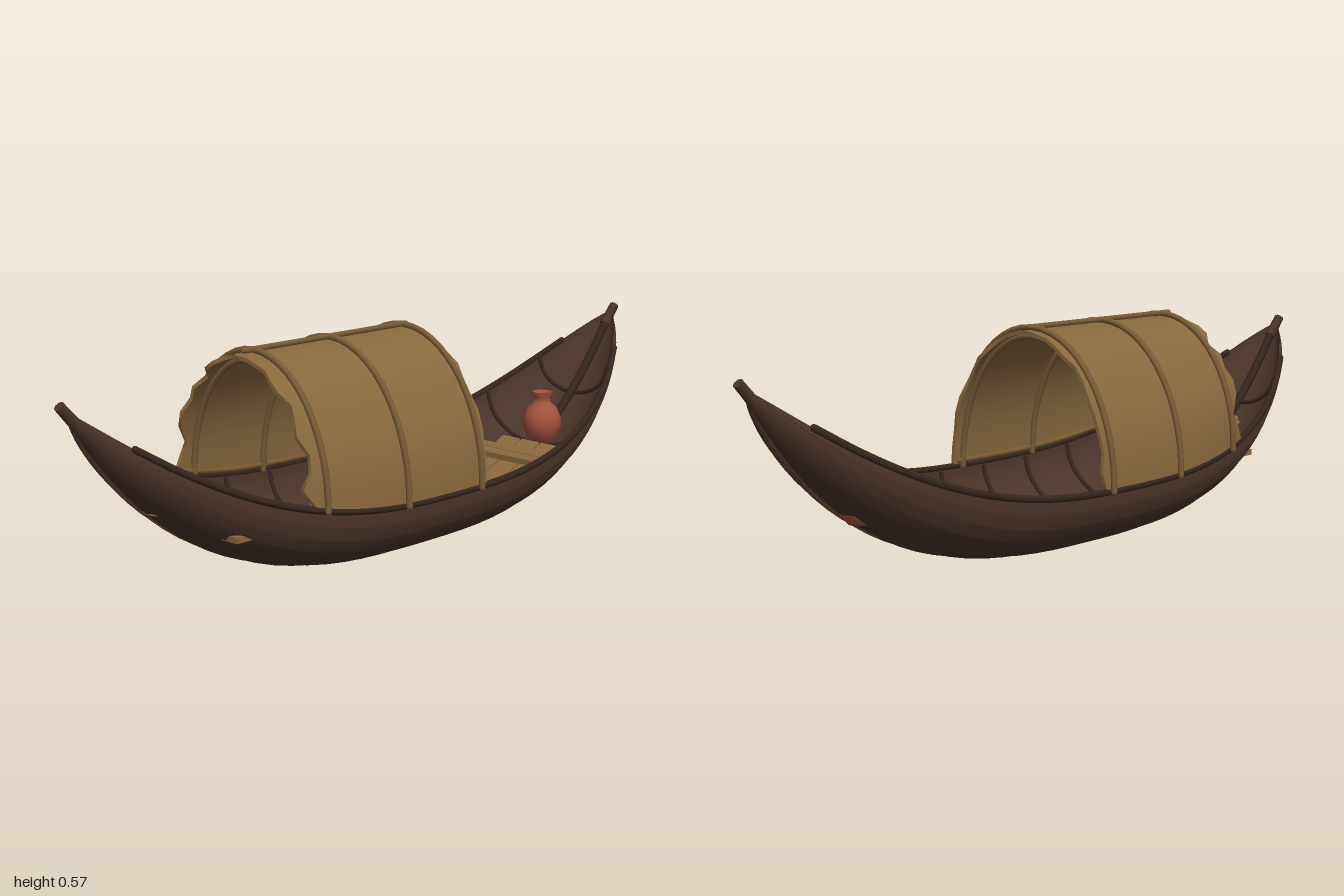
import * as THREE from 'three';

const mat = (name, color, side = THREE.FrontSide) => {
  const m = new THREE.MeshStandardMaterial({ color, side });
  m.name = name;
  return m;
};

// Hull lines as functions of z
const END = 0.97;
const sheer = z => 0.18 + 0.3 * Math.pow(Math.abs(z) / 0.95, 2.7);
const keel = z => 0.008 + 0.44 * Math.pow(Math.abs(z) / 0.95, 3);
const width = z => 0.263 * Math.pow(Math.max(0, 1 - Math.pow(Math.abs(z) / END, 2.6)), 0.75);

// Point on the hull skin; a = 0 at the keel, +-PI/2 at the rim
function hullPoint(z, a, off = 0) {
  const o = off * Math.min(1, width(z) / 0.08);
  return new THREE.Vector3(
    (width(z) + o) * Math.sin(a), sheer(z) - (sheer(z) - keel(z) + o) * Math.cos(a), z);
}

// Point on the canopy arch; a = 0 at the left foot, PI at the right foot
function archPoint(z, a, off = 0) {
  return new THREE.Vector3(
    (width(z) + 0.005 + off) * Math.cos(a), sheer(z) + (0.558 + off - sheer(z)) * Math.sin(a), z);
}

// Smooth surface from a rule f(u, v)
function surface(f, nu, nv) {
  const pos = [], index = [];
  for (let i = 0; i <= nu; i++)
    for (let j = 0; j <= nv; j++) pos.push(...f(i / nu, j / nv).toArray());
  for (let i = 0; i < nu; i++)
    for (let j = 0; j < nv; j++) {
      const p = i * (nv + 1) + j, q = p + nv + 1;
      index.push(p, q, p + 1, q, q + 1, p + 1);
    }
  const g = new THREE.BufferGeometry();
  g.setAttribute('position', new THREE.Float32BufferAttribute(pos, 3));
  g.setIndex(index);
  g.computeVertexNormals();
  return g;
}

const range = (n, f) => Array.from({ length: n + 1 }, (_, i) => f(i / n));
const lerp = THREE.MathUtils.lerp;

export function createModel() {
  const model = new THREE.Group();
  const hullWood = mat('dark hull wood', 0x49342a, THREE.DoubleSide);
  const trimWood = mat('tarred trim wood', 0x35261f);
  const thatch = mat('woven mat', 0x8a693e, THREE.DoubleSide);
  const bamboo = mat('bamboo', 0x7a5b36);
  const plankWood = mat('plank wood', 0x8a693f);
  const ropeFibre = mat('rope', 0x957243);
  const clay = mat('red clay', 0xa2533c);

  const add = (name, geo, material, x = 0, y = 0, z = 0) => {
    const m = new THREE.Mesh(geo, material);
    m.name = name;
    m.position.set(x, y, z);
    model.add(m);
    return m;
  };
  // Rod along points, with rounded ends
  const rod = (name, pts, r, material, segs = 32) => {
    const curve = new THREE.CatmullRomCurve3(pts);
    add(name, new THREE.TubeGeometry(curve, segs, r, 7), material);
    for (const p of [pts[0], pts[pts.length - 1]])
      add(name + 'End', new THREE.SphereGeometry(r, 7, 5), material, p.x, p.y, p.z);
  };
  const zAt = u => END * Math.sin((u - 0.5) * Math.PI);

  // Lapped strakes: the lower edge of each stands proud of the one below
  const strakes = 7, lap = 0.008, step = Math.PI / 2 / strakes;
  for (const s of [-1, 1])
    for (let k = 0; k < strakes; k++) {
      const a0 = k * step, a1 = a0 + step;
      add('strake', surface((u, v) => hullPoint(zAt(u), s * lerp(a0, a1, v), lap * (1 - v)), 48, 2), hullWood);
      if (k) add('strakeLap', surface((u, v) => hullPoint(zAt(u), s * a0, lap * v), 48, 1), hullWood);
    }
  add('innerHull', surface((u, v) => hullPoint(zAt(u), (v - 0.5) * Math.PI, -0.006), 48, 28), hullWood);

  // Rim rails
  for (const s of [-1, 1])
    rod('gunwale', range(24, t => hullPoint(lerp(-0.865, 0.865, t), s * Math.PI / 2)), 0.009, trimWood, 60);

  // Inner frames
  for (let i = -5; i <= 5; i++)
    rod('hullFrame', range(14, t => hullPoint(i * 0.16, (t - 0.5) * Math.PI * 0.96, -0.009)), 0.006, trimWood, 24);

  // Stem and stern timbers with upright tips
  for (const s of [-1, 1]) {
    rod('stemTimber', range(8, t => {
      const z = lerp(0.73, 0.955, t);
      return new THREE.Vector3(0, keel(z) + 0.02, s * z);
    }), 0.012, trimWood, 16);
    const a = new THREE.Vector3(0, 0.462, s * 0.945), b = new THREE.Vector3(0, 0.514, s * 0.991);
    const tip = add('stemTip', new THREE.CylinderGeometry(0.013, 0.015, a.distanceTo(b), 8), hullWood);
    tip.position.copy(a).lerp(b, 0.5);
    tip.quaternion.setFromUnitVectors(new THREE.Vector3(0, 1, 0), b.clone().sub(a).normalize());
  }

  // Canopy mat with ragged ends
  let seed = 7;
  const rand = () => (seed = (seed * 16807) % 2147483647) / 2147483647;
  const N = 24;
  const front = range(N, () => 0.455 + 0.045 * rand());
  const back = range(N, () => -0.095 - 0.018 * rand());
  const mat3 = (u, v, off) => {
    const i = Math.round(v * N);
    return archPoint(lerp(back[i], front[i], u), v * Math.PI, off);
  };
  add('canopyOuter', surface((u, v) => mat3(u, v, 0), 10, N), thatch);
  add('canopyInner', surface((u, v) => mat3(u, v, -0.01), 10, N), thatch);
  for (const end of [0, 1])
    add('canopyEdge', surface((u, v) => mat3(end, v, -0.01 * u), 1, N), thatch);

  // Canopy hoops, ridge pole and foot poles
  for (const z of [-0.08, 0.185, 0.435])
    for (const off of [0.007, -0.016])
      rod('canopyHoop', range(18, t => archPoint(z, t * Math.PI, off)), 0.008, bamboo, 30);
  for (const [a, off] of [[Math.PI / 2, 0.008], [0.04, -0.014], [Math.PI - 0.04, -0.014]])
    rod('canopyPole', range(8, t => archPoint(lerp(-0.09, 0.465, t), a, off)), 0.007, bamboo, 16);

  // Floor boards bent along the bottom
  for (const x of [-0.07, 0, 0.07]) {
    const board = new THREE.BoxGeometry(0.064, 0.01, 1.22, 1, 1, 28);
    const p = board.attributes.position;
    for (let i = 0; i < p.count; i++) p.setY(i, p.getY(i) + keel(p.getZ(i)) + 0.038);
    board.computeVertexNormals();
    add('floorBoard', board, plankWood, x);
  }

  // Thwarts: [half length, y, z, depth]
  for (const [hx, y, z, d] of [
    [0.187, 0.175, -0.452, 0.048], [0.187, 0.175, -0.4, 0.048],
    [0.163, 0.173, 0.555, 0.046], [0.163, 0.173, 0.615, 0.05],
  ]) add('thwart', new THREE.BoxGeometry(hx * 2, 0.015, d), plankWood, 0, y, z);

  // Coiled rope in the bow
  [[0.05, 0.232], [0.046, 0.243], [0.034, 0.241]].forEach(([r, y]) => {
    const ring = add('ropeCoil', new THREE.TorusGeometry(r, 0.006, 6, 24), ropeFibre, 0, y, 0.71);
    ring.rotation.x = Math.PI / 2;
  });

  // Clay jar in the stern
  const profile = [[0, 0], [0.026, 0], [0.044, 0.02], [0.055, 0.05], [0.053, 0.075], [0.042, 0.1],
    [0.024, 0.117], [0.022, 0.132], [0.032, 0.146], [0.026, 0.147], [0.017, 0.132], [0.015, 0.11], [0, 0.105]];
  add('jar', new THREE.LatheGeometry(profile.map(p => new THREE.Vector2(...p)), 20), clay, 0, 0.155, -0.66);

  return model;
}
